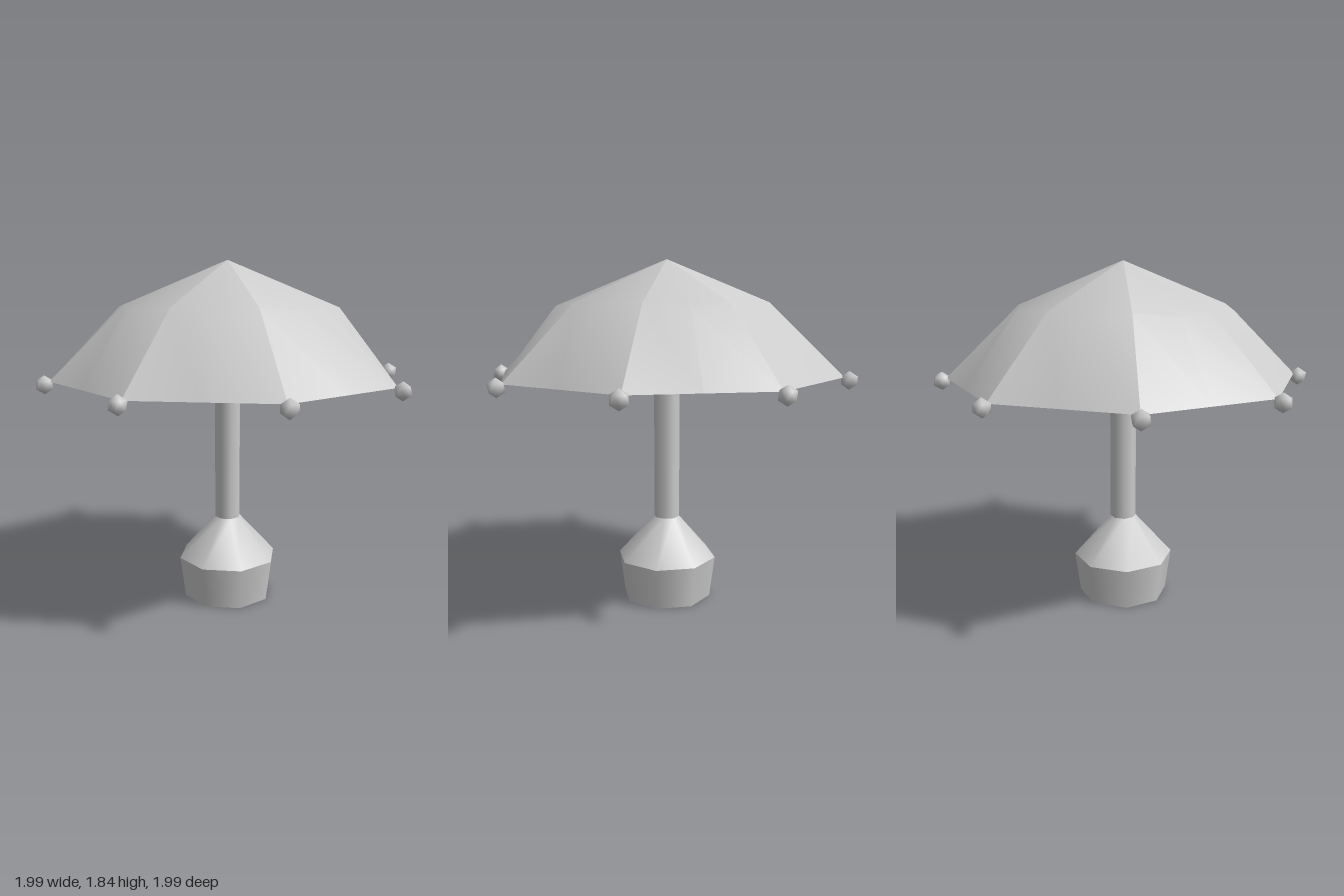
import * as THREE from 'three';

const SIDES = 8;

// One canopy panel: apex, slightly puffed middle row, straight hem.
function panelGeometry() {
  const a = Math.PI / SIDES;
  const at = (r, angle, y) => [r * Math.sin(angle), y, r * Math.cos(angle)];
  const points = [
    at(0, 0, 1.84),
    at(0.54, -a, 1.618), at(0.582, 0, 1.6), at(0.54, a, 1.618),
    at(0.93, -a, 1.24), at(0.93 * Math.cos(a), 0, 1.24), at(0.93, a, 1.24),
  ];
  const geometry = new THREE.BufferGeometry();
  geometry.setAttribute('position', new THREE.Float32BufferAttribute(points.flat(), 3));
  geometry.setIndex([0, 1, 2, 0, 2, 3, 1, 4, 5, 1, 5, 2, 2, 5, 6, 2, 6, 3]);
  geometry.computeVertexNormals();
  return geometry;
}

export function createModel() {
  const model = new THREE.Group();
  model.name = 'parasol';
  const grey = new THREE.MeshStandardMaterial({ color: 0xcccccc });
  const cloth = new THREE.MeshStandardMaterial({ color: 0xcccccc, side: THREE.DoubleSide });

  const add = (name, geometry, material = grey, parent = model) => {
    const mesh = new THREE.Mesh(geometry, material);
    mesh.name = name;
    parent.add(mesh);
    return mesh;
  };
  // Tapered eight-sided section between two heights.
  const section = (name, rTop, rBottom, y0, y1, open) => {
    const geometry = new THREE.CylinderGeometry(rTop, rBottom, y1 - y0, SIDES, 1, open);
    add(name, geometry.translate(0, (y0 + y1) / 2, 0));
  };

  // Foot, sloping shoulder and pole
  section('foot', 0.272, 0.243, 0, 0.225, false);
  section('shoulder', 0.07, 0.272, 0.225, 0.45, true);
  section('pole', 0.07, 0.07, 0.45, 1.8, true);

  // Canopy panels with a bead at each rib tip
  const canopy = new THREE.Group();
  canopy.name = 'canopy';
  const beads = new THREE.Group();
  beads.name = 'ribTips';
  model.add(canopy, beads);

  const panel = panelGeometry();
  const bead = new THREE.IcosahedronGeometry(0.048, 1 - 1).rotateZ(0.5536);
  // Rounded shading on the faceted bead
  bead.setAttribute('normal', bead.attributes.position.clone());
  bead.normalizeNormals();

  for (let i = 0; i < SIDES; i++) {
    const angle = (i * 2 * Math.PI) / SIDES;
    add('canopyPanel', panel, cloth, canopy).rotation.y = angle + Math.PI / SIDES;
    const tip = add('ribTip', bead, grey, beads);
    tip.position.set(0.954 * Math.sin(angle), 1.225, 0.954 * Math.cos(angle));
    tip.rotation.y = angle;
  }
  return model;
}
